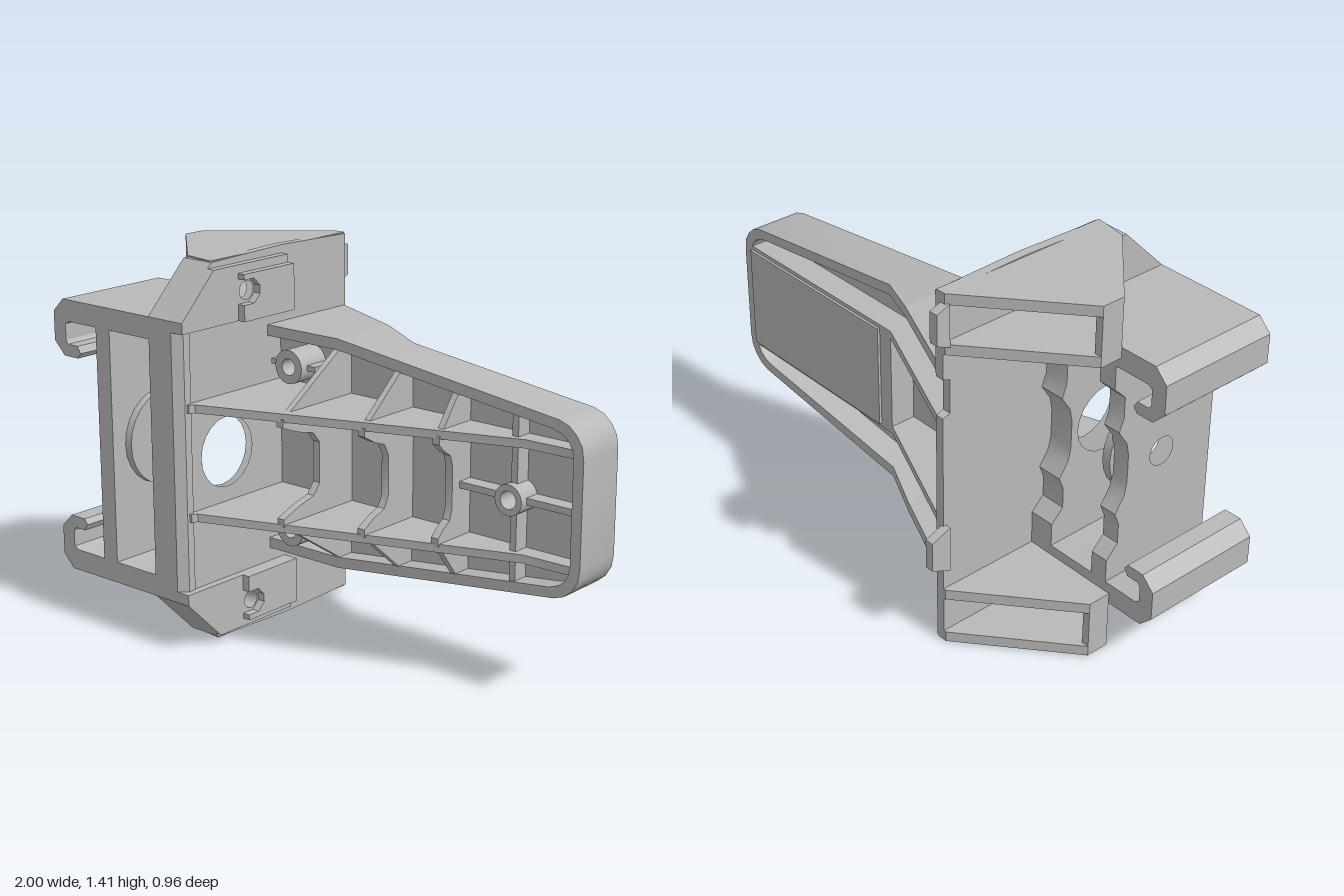
import * as THREE from 'three';
import { toCreasedNormals } from 'three/addons/utils/BufferGeometryUtils.js';

const grey = new THREE.MeshStandardMaterial({ color: 0xb8b8b8 });
grey.name = 'grey plastic';
const MID = 0.705; // height of the mirror plane

export function createModel() {
  const model = new THREE.Group();
  model.name = 'bracket';

  const add = (name, geo) => {
    const mesh = new THREE.Mesh(toCreasedNormals(geo, 0.5), grey);
    mesh.name = name;
    model.add(mesh);
    return mesh;
  };
  const box = (name, x0, x1, y0, y1, z0, z1) => add(name, new THREE.BoxGeometry(x1 - x0, y1 - y0, z1 - z0)
    .translate((x0 + x1) / 2, (y0 + y1) / 2, (z0 + z1) / 2));
  // Outline with optional circular holes [u, v, radius] or polygon holes
  const extrude = (pts, depth, holes = []) => {
    const shape = new THREE.Shape(pts.map(p => new THREE.Vector2(...p)));
    for (const h of holes) {
      const path = new THREE.Path();
      if (Array.isArray(h[0])) path.setFromPoints(h.map(p => new THREE.Vector2(...p)));
      else path.absarc(h[0], h[1], h[2], 0, Math.PI * 2, true);
      shape.holes.push(path);
    }
    return new THREE.ExtrudeGeometry(shape, { depth, bevelEnabled: false, curveSegments: 10 });
  };
  // Plates lying across z (points x,y), x (points z,y) and y (points x,z)
  const plateZ = (name, pts, z0, z1, holes) => add(name, extrude(pts, z1 - z0, holes).translate(0, 0, z0));
  const plateX = (name, pts, x0, x1, holes = []) => add(name, extrude(pts.map(([z, y]) => [-z, y]), x1 - x0,
    holes.map(([z, y, r]) => [-z, y, r])).rotateY(Math.PI / 2).translate(x0, 0, 0));
  const plateY = (name, pts, y0, y1) => add(name, extrude(pts, y1 - y0).rotateX(Math.PI / 2).translate(0, y1, 0));
  const rect = (a0, a1, b0, b1) => [[a0, b0], [a1, b0], [a1, b1], [a0, b1]];
  const ellipse = (a, b, ra, rb) => Array.from({ length: 24 }, (_, i) =>
    [a + ra * Math.cos(i * Math.PI / 12), b + rb * Math.sin(i * Math.PI / 12)]);
  const flip = pts => pts.map(([a, y]) => [a, 2 * MID - y]);
  // Close a half outline with its mirror image
  const sym = pts => [...pts, ...flip(pts).reverse()];

  // Main upright plate, notched at the upper rear edge
  const plateTop = [[0.44, 1.26], [0.30, 1.40], [-0.06, 1.41], [-0.41, 1.40]];
  plateX('mainPlate', [...plateTop, [-0.41, 1.08], [-0.38, 1.07], [-0.38, 0.94], [-0.41, 0.93], ...flip(plateTop).reverse()],
    -0.41, -0.375, [[0.24, MID, 0.13], [0.16, 1.285, 0.034], [0.16, 0.125, 0.034]]);
  plateY('frontChamfer', [[-0.42, 0.48], [-0.40, 0.48], [-0.37, 0.45], [-0.37, 0.42], [-0.42, 0.42]], 0.2, 1.21);

  // Channel walls with wavy rear edges
  const wavy = sym([[0.48, 1.2], [0, 1.2], [0, 1.05], [0.05, 1.0], [0.05, 0.92], [0.03, 0.87], [0.07, 0.81], [0.08, 0.76]]);
  plateX('innerChannelWall', wavy, -0.51, -0.405, [[0.24, MID, 0.13]]);
  plateX('outerChannelWall', wavy, -0.78, -0.71, [[0.24, MID, 0.055]]);
  plateX('channelBoss', ellipse(0.24, MID, 0.18, 0.18), -0.715, -0.68, [[0.24, MID, 0.055]]);

  const hook = [[-0.40, 1.22], [-0.95, 1.22], [-1, 1.17], [-1, 1.06], [-0.95, 1.01], [-0.88, 1.01], [-0.865, 1.03],
    [-0.88, 1.055], [-0.93, 1.055], [-0.94, 1.07], [-0.94, 1.13], [-0.92, 1.14], [-0.40, 1.14]];

  // Arm outline, upper half: straight root, then the rounded tip
  const outerRoot = [[-0.39, 1.13], [-0.04, 1.13], [0.14, 1.1075]];
  const innerRoot = [[-0.39, 1.09], [-0.04, 1.09], [0.14, 1.0675]];
  const outerTip = [[0.14, 1.1075], [0.90, 1.012], [0.94, 0.998], [0.972, 0.97], [0.993, 0.935], [1, 0.89]];
  const innerTip = [[0.14, 1.0675], [0.88, 0.977], [0.915, 0.965], [0.94, 0.945], [0.955, 0.92], [0.96, 0.89]];
  plateZ('armRim', [...sym(outerTip), ...sym(innerTip).reverse()], -0.18, 0.02);

  // Arm floor, with a thick panel and pad behind the tip
  plateZ('armFloor', sym([...innerRoot, ...innerTip.slice(1)]), -0.08, -0.05,
    [rect(-0.07, -0.035, 0.6, 0.66), rect(-0.07, -0.035, 0.75, 0.81)]);
  box('rearPanel', 0.14, 0.965, 0.495, 0.915, -0.18, -0.06);
  plateZ('rearPad', rect(0.2, 0.955, 0.505, 0.905), -0.19, -0.179);

  // Sloping top of the long ribs
  const ribTop = x => Math.max(0.02, 0.42 - 0.357 * (x + 0.35));
  const crossRibs = [-0.05, 0.23, 0.48];

  // Central cross ribs with a dipped edge
  for (const x of crossRibs) {
    const h = ribTop(x);
    plateX('centreCrossRib', sym([[-0.06, 0.9], [h, 0.9], [h, 0.87], [0.75 * h, 0.84], [0.5 * h, 0.82],
      [0.4 * h, 0.78]]), x - 0.015, x + 0.015);
  }

  // Tip boss and its cross
  const tube = (name, x, y, r, hole, z0, z1) => plateZ(name, ellipse(x, y, r, r), z0, z1, [[x, y, hole]]);
  tube('tipBoss', 0.72, MID, 0.055, 0.032, -0.06, 0.04);
  for (const [a, b] of [[0.49, 0.67], [0.77, 0.965]]) box('tipBossRib', a, b, MID - 0.012, MID + 0.012, -0.06, 0.01);
  for (const [a, b] of [[0.51, 0.655], [0.755, 0.9]]) box('tipBossRib', 0.71, 0.735, a, b, -0.06, 0.01);

  // Parts repeated above and below the mirror plane
  for (const up of [true, false]) {
    const m = pts => up ? pts : flip(pts);
    const span = (y0, y1) => up ? [y0, y1] : [2 * MID - y1, 2 * MID - y0];
    const my = y => up ? y : 2 * MID - y;

    plateZ('hookRail', m(hook), 0, 0.48);

    // Rim wall at the arm root, its rear edge running back to the plate
    for (const i of [0, 1]) {
      const quad = [outerRoot[i], outerRoot[i + 1], innerRoot[i + 1], innerRoot[i]];
      const wall = extrude(m(quad), 0.2).translate(0, 0, -0.18);
      const pos = wall.attributes.position;
      for (let k = 0; k < pos.count; k++) {
        if (pos.getZ(k) < -0.1) pos.setZ(k, -0.18 - 0.23 * (0.14 - pos.getX(k)) / 0.53);
      }
      add('armRootWall', wall);
    }

    // Long rib
    plateY('longRib', [[-0.39, -0.41], [0.14, -0.18], [0.96, -0.18], [0.96, 0.015], [0.77, 0.02],
      [-0.35, 0.42], [-0.36, 0.44], [-0.39, 0.44]], ...span(0.89, 0.92));

    // Slanted cross ribs out to the rim
    for (const x of crossRibs) {
      const edge = 1.1 - Math.max(0, x) * 0.12;
      plateX('sideCrossRib', m([[-0.06, 0.9], [ribTop(x) - 0.01, 0.9], [0.015, edge - 0.01], [-0.06, edge]]), x - 0.012, x + 0.012);
    }
    box('sideTipRib', 0.71, 0.735, ...span(0.9, 1.0), -0.06, 0.01);

    // Screw post with small fins
    tube('screwPost', -0.22, my(1.01), 0.062, 0.03, -0.06, 0.08);
    box('postFin', -0.33, -0.275, ...span(1.0, 1.02), -0.06, 0.05);
    box('postFin', -0.165, -0.12, ...span(1.0, 1.02), -0.06, 0.05);

    // Ear: lid, floor, front wall with hole and end post
    const ear = [[-0.8, 0], [-0.8, -0.09], [-0.42, -0.41], [-0.38, -0.41], [-0.38, 0.3], [-0.51, 0.28]];
    plateY('earLid', ear, ...span(1.365, 1.405));
    plateY('earFloor', ear, ...span(1.18, 1.22));
    const wall = extrude(m(rect(0, 0.403, 1.2, 1.39)), 0.02, [ellipse(0.21, my(1.285), 0.056, 0.034)])
      .translate(0, 0, -0.02).rotateY(-0.768).translate(-0.8, 0, 0);
    add('earFrontWall', wall);
    box('earEndPost', -0.8, -0.77, ...span(1.2, 1.39), -0.09, 0);

    // Chamfered front block, side rail and notched clip pad
    plateX('earChamferBlock', m([[0.48, 1.18], [0.48, 1.22], [0.30, 1.40], [0.27, 1.40], [0.27, 1.18]]), -0.51, -0.40);
    plateX('clipRail', m([[0.48, 1.18], [0.48, 1.22], [0.35, 1.35], [0.32, 1.38], [-0.06, 1.38], [-0.06, 1.18]]),
      -0.405, -0.345, [[0.16, my(1.285), 0.034]]);
    plateX('clipPad', m([[0.2, 1.18], [0.2, 1.24], [0.15, 1.24], [0.12, 1.27], [0.12, 1.3], [0.15, 1.33], [0.2, 1.33],
      [0.2, 1.35], [-0.06, 1.35], [-0.06, 1.18]]), -0.35, -0.315);

    // Locating tab on the rear edge
    const tab = up ? [[-0.40, 1.21], [-0.455, 1.235], [-0.455, 1.35], [-0.40, 1.37]]
      : [[-0.40, 0.32], [-0.48, 0.355], [-0.48, 0.47], [-0.40, 0.5]];
    plateX('locatingTab', tab, -0.435, -0.40);
  }
  return model;
}
